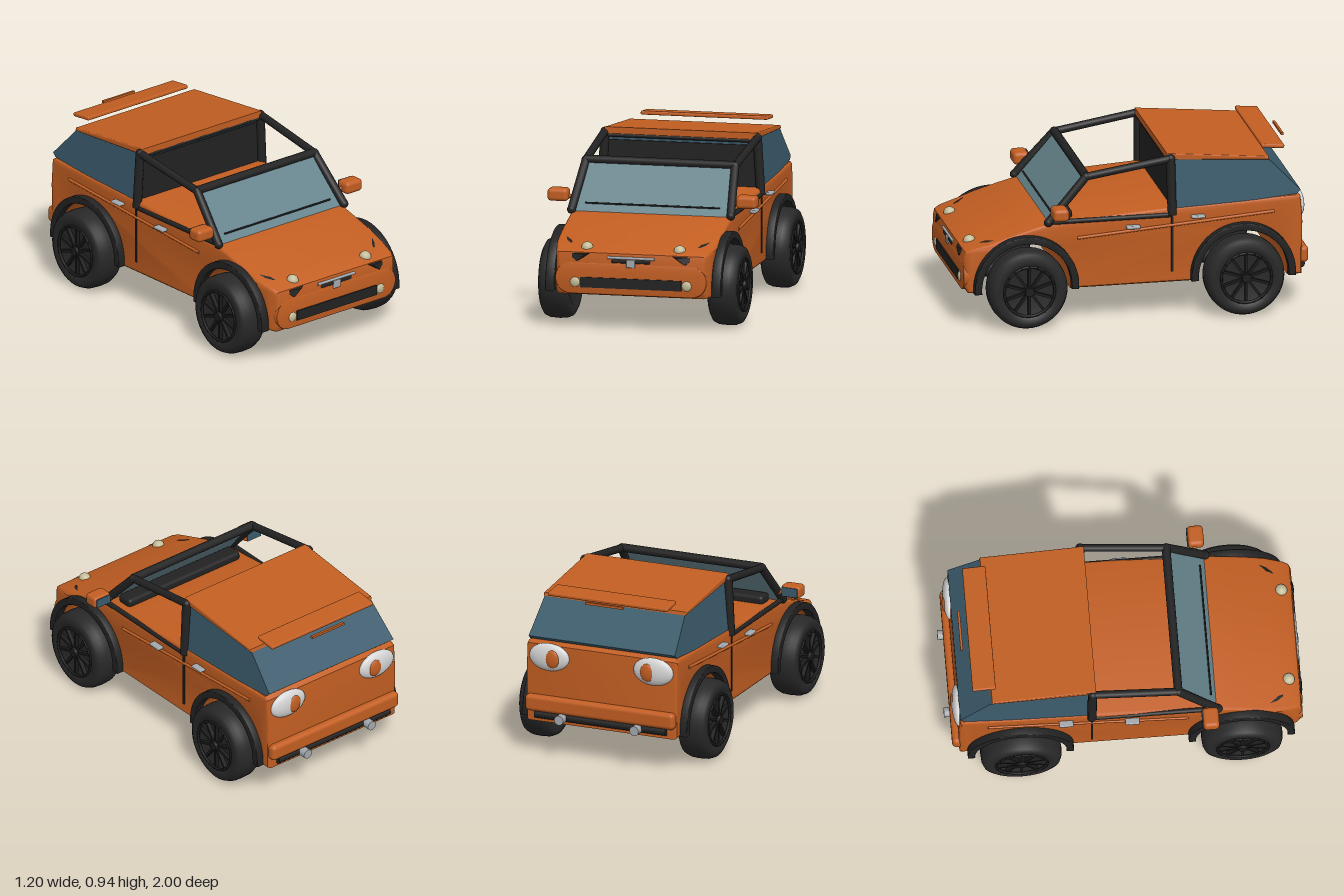
import * as THREE from 'three';
import { toCreasedNormals } from 'three/addons/utils/BufferGeometryUtils.js';
import { RoundedBoxGeometry } from 'three/addons/geometries/RoundedBoxGeometry.js';
import { ConvexGeometry } from 'three/addons/geometries/ConvexGeometry.js';

const paint = (name, color) => Object.assign(new THREE.MeshStandardMaterial({ color }), { name });
const V = (p) => new THREE.Vector3(...p);

export function createModel() {
  const orange = paint('orange paint', 0xc25e22);
  const black = paint('black trim', 0x222222);
  const rubber = paint('tyre rubber', 0x282828);
  const rimBlack = paint('rim black', 0x1b1b1b);
  const glass = paint('windscreen glass', 0x66848c);
  const blue = paint('blue window', 0x3a5a6b);
  const silver = paint('silver', 0xa4a8ad);
  const cream = paint('lamp cream', 0xc4bc98);
  const white = paint('tail lamp white', 0xd6d6d6);

  const car = new THREE.Group();
  car.name = 'car';

  const add = (name, geo, mat, pos = [0, 0, 0], parent = car) => {
    const m = new THREE.Mesh(geo, mat);
    m.name = name;
    m.position.set(...pos);
    parent.add(m);
    return m;
  };
  const box = (name, mat, size, pos, r = 0) => add(name,
    r ? new RoundedBoxGeometry(...size, 3, r) : new THREE.BoxGeometry(...size), mat, pos);
  const ball = (name, mat, radii, pos) =>
    add(name, new THREE.SphereGeometry(1, 24, 16).scale(...radii), mat, pos);

  // Round bar between two points
  const rod = (name, mat, a, b, r) => {
    const d = V(b).sub(V(a));
    const m = add(name, new THREE.CylinderGeometry(r, r, d.length(), 12), mat);
    m.position.copy(V(a)).addScaledVector(d, 0.5);
    m.quaternion.setFromUnitVectors(new THREE.Vector3(0, 1, 0), d.normalize());
    return m;
  };

  // Extrude a (z, y) side profile across x
  const across = (shape, width, bevel = 0) => {
    const depth = width - 2 * bevel;
    return new THREE.ExtrudeGeometry(shape, {
      depth, curveSegments: 24, bevelEnabled: bevel > 0, bevelSize: bevel,
      bevelThickness: bevel, bevelOffset: -bevel, bevelSegments: 3,
    }).translate(0, 0, -depth / 2).rotateY(-Math.PI / 2);
  };
  const outline = (pts) => new THREE.Shape(pts.map((p) => new THREE.Vector2(...p)));
  const reshapeX = (geo, rule) => {
    const p = geo.attributes.position;
    for (let i = 0; i < p.count; i++) p.setX(i, p.getX(i) * rule(p.getY(i), p.getZ(i)));
    geo.computeVertexNormals();
    return geo;
  };

  // Body shell with wheel openings, narrowing towards the nose
  const axles = [0.645, -0.59], axleY = 0.227, opening = 0.257;
  const body = new THREE.Shape();
  body.moveTo(-0.93, 0.195);
  for (const z of [...axles].reverse()) {
    body.lineTo(z - opening, 0.195);
    body.absarc(z, axleY, opening, Math.PI, 0, true);
    body.lineTo(z + opening, 0.195);
  }
  [[0.965, 0.195], [0.985, 0.23], [0.99, 0.4], [0.982, 0.435], [0.95, 0.452], [0.85, 0.478],
    [0.74, 0.517], [0.615, 0.553], [0.5, 0.583], [0.3, 0.6], [-0.17, 0.63], [-0.6, 0.645],
    [-0.9, 0.66], [-0.925, 0.645], [-0.935, 0.5]].forEach((p) => body.lineTo(...p));
  add('body', toCreasedNormals(reshapeX(across(body, 0.92, 0.02), (y, z) =>
    1 - 0.09 * Math.max(0, (z - 0.8) / 0.2) ** 2), 0.5), orange);

  // Rear cabin glass, roof and bulkhead
  const cabin = outline([[-0.2, 0.605], [-0.2, 0.915], [-0.745, 0.872], [-0.925, 0.685], [-0.9, 0.664]].reverse());
  add('rearWindows', reshapeX(across(cabin, 0.91), (y) => 1 - 0.22 * (y - 0.605)), blue);
  const roof = outline([[-0.165, 0.905], [-0.165, 0.942], [-0.745, 0.887], [-0.75, 0.868]].reverse());
  add('roof', across(roof, 0.87, 0.006), orange);
  box('bulkhead', black, [0.85, 0.25, 0.008], [0, 0.742, -0.195]);
  box('roofSpoiler', orange, [0.73, 0.022, 0.13], [0, 0.922, -0.785], 0.008).rotation.x = -0.09;
  box('highBrakeLamp', orange, [0.23, 0.014, 0.014], [0, 0.91, -0.89]);

  // Windscreen, header, wiper and dashboard
  const screen = new THREE.BufferGeometry();
  screen.setAttribute('position', new THREE.Float32BufferAttribute(
    [-0.44, 0.578, 0.51, 0.44, 0.578, 0.51, 0.405, 0.835, 0.3, -0.405, 0.835, 0.3], 3));
  screen.setIndex([0, 1, 2, 0, 2, 3]);
  screen.computeVertexNormals();
  const screenGlass = glass.clone();
  screenGlass.side = THREE.DoubleSide;
  add('windscreen', screen, screenGlass);
  rod('windscreenHeader', black, [-0.43, 0.838, 0.295], [0.43, 0.838, 0.295], 0.024);
  rod('wiper', black, [-0.385, 0.625, 0.482], [0.385, 0.625, 0.482], 0.005);
  rod('roofHoop', black, [-0.435, 0.895, -0.18], [0.435, 0.895, -0.18], 0.012);
  box('dashboard', black, [0.8, 0.055, 0.1], [0, 0.61, 0.415], 0.02);

  // Frame bars, door trim, handles and mirrors on both sides
  for (const s of [-1, 1]) {
    const base = [s * 0.457, 0.59, 0.515], corner = [s * 0.428, 0.835, 0.295];
    const hoop = [s * 0.438, 0.912, -0.185], foot = [s * 0.456, 0.59, -0.19];
    rod('screenPillar', black, base, corner, 0.024);
    rod('roofRail', black, corner, hoop, 0.022);
    rod('doorPillar', black, hoop, foot, 0.026);
    rod('doorSill', black, foot, base, 0.014);
    [base, corner, hoop].forEach((p) => ball('frameJoint', black, [0.025, 0.025, 0.025], p));
    box('doorGap', black, [0.008, 0.32, 0.012], [s * 0.461, 0.42, -0.19]);
    rod('sideCrease', orange, [s * 0.461, 0.49, 0.35], [s * 0.461, 0.575, -0.77], 0.009);
    box('doorHandle', silver, [0.04, 0.018, 0.08], [s * 0.475, 0.538, 0.035], 0.007);
    box('rearHandle', silver, [0.04, 0.016, 0.08], [s * 0.475, 0.576, -0.335], 0.007);
    rod('mirrorStalk', orange, [s * 0.45, 0.645, 0.45], [s * 0.51, 0.665, 0.465], 0.012);
    box('mirror', orange, [0.118, 0.072, 0.09], [s * 0.541, 0.666, 0.468], 0.022);
    box('mirrorGlass', blue, [0.095, 0.052, 0.006], [s * 0.541, 0.666, 0.422]);

    // Headlamps, dark brow trim and lower lamps
    ball('headlamp', cream, [0.034, 0.034, 0.034], [s * 0.265, 0.452, 0.925]);
    ball('lowerLamp', cream, [0.028, 0.028, 0.012], [s * 0.32, 0.267, 0.99]);
    const wedge = [[0.225, 0.435, 0.975], [0.34, 0.452, 0.93], [0.41, 0.44, 0.92], [0.31, 0.386, 0.998],
      [0.26, 0.425, 0.998], [0.37, 0.43, 0.978], [0.31, 0.39, 0.95]];
    const arm = [[0.46, 0.475, 0.78], [0.43, 0.497, 0.79], [0.465, 0.45, 0.82], [0.37, 0.48, 0.86],
      [0.34, 0.45, 0.93], [0.41, 0.44, 0.93], [0.37, 0.43, 0.97], [0.43, 0.46, 0.78]];
    for (const part of [wedge, arm])
      add('browTrim', new ConvexGeometry(part.map(([x, y, z]) => V([s * x, y, z]))), black);

    // Oval tail lamps with coloured centres, and exhaust tips
    ball('tailLamp', white, [0.122, 0.08, 0.034], [s * 0.318, 0.578, -0.93]);
    ball('tailLampCentre', orange, [0.042, 0.052, 0.016], [s * 0.29, 0.575, -0.955]);
    rod('exhaustTip', silver, [s * 0.23, 0.237, -0.92], [s * 0.23, 0.237, -1], 0.028);
  }

  // Front bumper, grille, handle bar and plain latch
  const bumper = new THREE.Shape();
  bumper.absarc(0.345, 0.29, 0.083, -Math.PI / 2, Math.PI / 2, false);
  bumper.absarc(-0.345, 0.29, 0.083, Math.PI / 2, Math.PI * 1.5, false);
  add('frontBumper', toCreasedNormals(new THREE.ExtrudeGeometry(bumper, {
    depth: 0.03, bevelSize: 0.006, bevelThickness: 0.006, bevelSegments: 2 }), 0.5), orange, [0, 0, 0.955]);
  box('grille', black, [0.58, 0.058, 0.03], [0, 0.268, 0.983]);
  rod('noseBar', silver, [-0.135, 0.412, 0.988], [0.135, 0.412, 0.988], 0.008);
  box('noseSlot', black, [0.22, 0.02, 0.02], [0, 0.393, 0.985], 0.006);
  box('noseLatch', silver, [0.05, 0.045, 0.016], [0, 0.382, 0.992], 0.005);

  // Rear bumper and lower bar
  box('rearBumper', orange, [0.91, 0.095, 0.06], [0, 0.305, -0.94], 0.024);
  rod('rearLowerBar', black, [-0.4, 0.238, -0.935], [0.4, 0.238, -0.935], 0.024);

  // Wheel arches and wheels
  const arch = new THREE.Shape();
  arch.absarc(0, 0, 0.297, -0.08, Math.PI + 0.08, false);
  arch.absarc(0, 0, 0.256, Math.PI + 0.08, -0.08, true);
  const archGeo = toCreasedNormals(across(arch, 0.055, 0.006), 0.5);
  const tyreGeo = new THREE.LatheGeometry([[0.001, -0.07], [0.14, -0.07], [0.15, -0.083], [0.19, -0.085],
    [0.212, -0.073], [0.224, -0.045], [0.227, 0], [0.224, 0.045], [0.212, 0.073], [0.19, 0.085],
    [0.15, 0.083], [0.14, 0.055], [0.001, 0.055]].map((p) => new THREE.Vector2(...p)), 48).rotateZ(-Math.PI / 2);
  const ringGeo = new THREE.TorusGeometry(0.143, 0.008, 8, 40).rotateY(Math.PI / 2);
  const hubGeo = new THREE.CylinderGeometry(0.026, 0.032, 0.04, 16).rotateZ(-Math.PI / 2);
  const spokeGeo = new THREE.BoxGeometry(0.022, 0.125, 0.014).translate(0, 0.08, 0);
  const studGeo = new THREE.SphereGeometry(0.005, 6, 4);

  for (const s of [-1, 1]) for (const z of axles) {
    add('wheelArch', archGeo, black, [s * 0.477, axleY, z]);
    const wheel = new THREE.Group();
    wheel.name = 'wheel';
    wheel.position.set(s * 0.485, axleY, z);
    wheel.rotation.y = s < 0 ? Math.PI : 0;
    car.add(wheel);
    add('tyre', tyreGeo, rubber, [0, 0, 0], wheel);
    add('rimRing', ringGeo, rimBlack, [0.082, 0, 0], wheel);
    add('hub', hubGeo, rimBlack, [0.076, 0, 0], wheel);
    for (let i = 0; i < 10; i++)
      add('spoke', spokeGeo, rimBlack, [0.07, 0, 0], wheel).rotation.x = i * Math.PI / 5;
    for (let i = 0; i < 20; i++) {
      const a = i * Math.PI / 10;
      add('rimStud', studGeo, rimBlack, [0.088, 0.146 * Math.cos(a), 0.146 * Math.sin(a)], wheel);
    }
  }
  return car;
}
